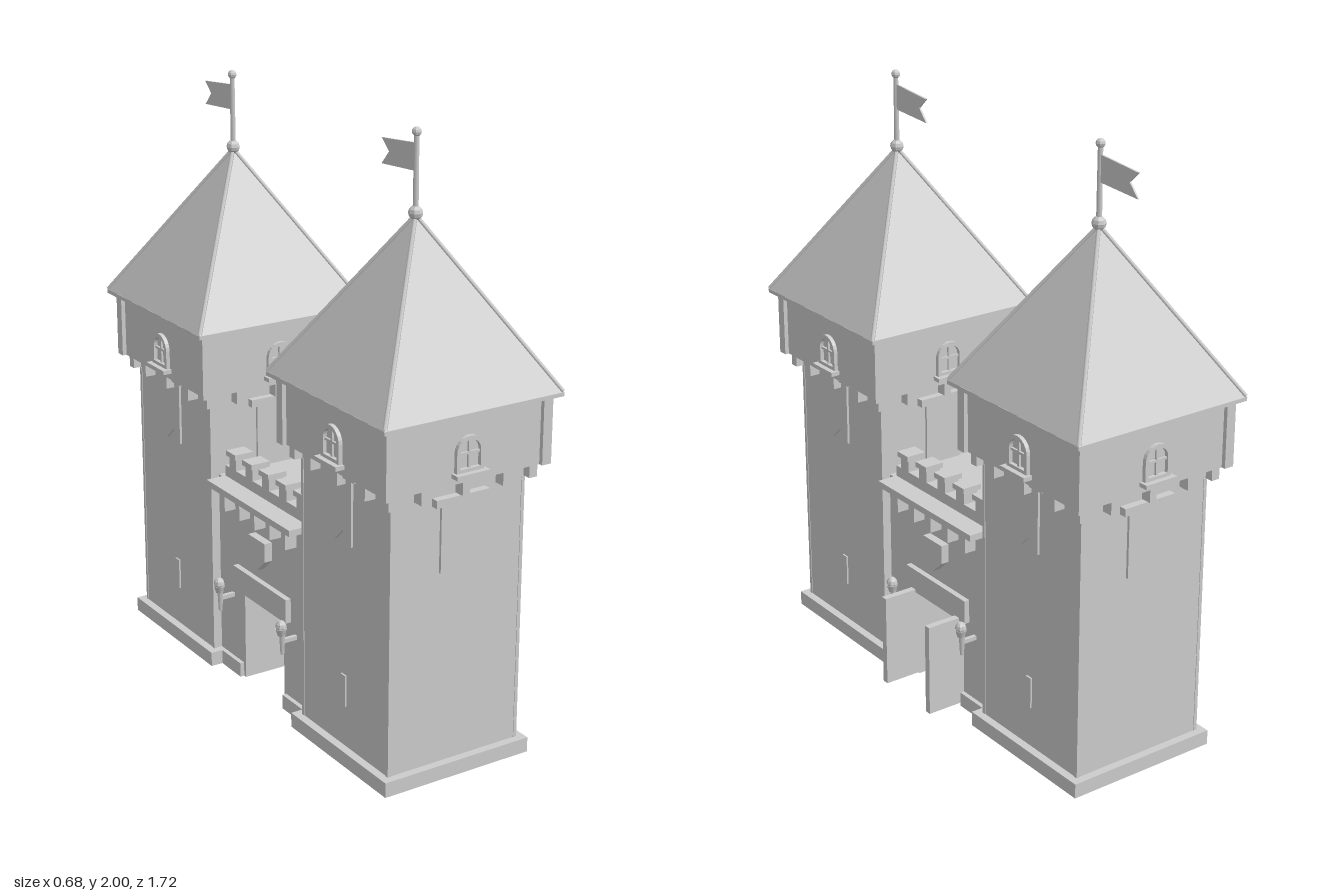
import * as THREE from 'three';

const stone = new THREE.MeshStandardMaterial({ color: 0xcccccc });
stone.name = 'grey stone';
const TOWER_Z = 0.533, CENTRE_X = -0.015;

// Faceted normals for low-poly parts
function facet(geometry) {
  const g = geometry.index ? geometry.toNonIndexed() : geometry;
  g.computeVertexNormals();
  return g;
}

function add(parent, name, geometry, x = 0, y = 0, z = 0) {
  const mesh = new THREE.Mesh(geometry, stone);
  mesh.name = name;
  mesh.position.set(x, y, z);
  parent.add(mesh);
  return mesh;
}

// Box standing on height y0
function box(parent, name, w, y0, y1, d, x = 0, z = 0) {
  return add(parent, name, new THREE.BoxGeometry(w, y1 - y0, d), x, (y0 + y1) / 2, z);
}

// Thin plate cut from an outline, growing towards +z
function plate(parent, name, points, depth, z) {
  const shape = new THREE.Shape(points.map(([x, y]) => new THREE.Vector2(x, y)));
  return add(parent, name, new THREE.ExtrudeGeometry(shape, { depth, bevelEnabled: false }), 0, 0, z);
}

function archShape(half, bottom, spring) {
  const s = new THREE.Shape();
  s.moveTo(-half, bottom);
  s.lineTo(half, bottom);
  s.lineTo(half, spring);
  s.absarc(0, spring, half, 0, Math.PI, false);
  s.lineTo(-half, bottom);
  return s;
}

// Arched window on a wall facing +z
function makeWindow(parent, z) {
  const frame = archShape(0.05, 1.02, 1.085);
  frame.holes.push(archShape(0.037, 1.033, 1.085));
  add(parent, 'windowFrame', new THREE.ExtrudeGeometry(frame, { depth: 0.016, bevelEnabled: false, curveSegments: 6 }), 0, 0, z);
  box(parent, 'windowMullion', 0.008, 1.03, 1.122, 0.01, 0, z + 0.005);
  box(parent, 'windowBar', 0.078, 1.075, 1.083, 0.01, 0, z + 0.005);
  box(parent, 'windowSill', 0.12, 1.008, 1.022, 0.04, 0, z + 0.014);
}

// One of the four tower sides, built facing +z
function makeTowerSide(gateSide) {
  const side = new THREE.Group();
  side.name = 'towerSide';
  makeWindow(side, 0.285);
  for (const x of [-0.15, 0, 0.15]) box(side, 'corbel', 0.026, 0.94, 0.99, 0.045, x, 0.26);
  if (gateSide) {
    box(side, 'bannerRod', 0.15, 0.962, 0.974, 0.02, 0, 0.253);
    plate(side, 'swallowtailBanner', [[-0.045, 0.965], [-0.045, 0.742], [0, 0.785], [0.045, 0.742], [0.045, 0.965]], 0.008, 0.245);
    box(side, 'arrowSlit', 0.026, 0.19, 0.297, 0.008, 0, 0.247);
  } else {
    box(side, 'bannerRail', 0.195, 0.912, 0.938, 0.028, 0, 0.256);
    box(side, 'banner', 0.138, 0.692, 0.92, 0.009, 0, 0.252);
  }
  return side;
}

function makeTower() {
  const tower = new THREE.Group();
  tower.name = 'tower';
  box(tower, 'towerBase', 0.545, 0, 0.05, 0.545);
  box(tower, 'towerShaft', 0.49, 0.05, 0.99, 0.49);
  box(tower, 'upperStorey', 0.575, 0.985, 1.21, 0.575);

  for (let i = 0; i < 4; i++) {
    const side = makeTowerSide(i % 2 === 1);
    side.rotation.y = i * Math.PI / 2;
    tower.add(side);
    const sx = i < 2 ? 1 : -1, sz = i % 2 ? 1 : -1;
    box(tower, 'cornerPost', 0.034, 0.985, 1.21, 0.034, sx * 0.285, sz * 0.285);
    box(tower, 'cornerCorbel', 0.03, 0.94, 0.99, 0.03, sx * 0.258, sz * 0.258);
    box(tower, 'cornerTrim', 0.012, 0.05, 0.94, 0.012, sx * 0.241, sz * 0.241);

    // Hip beam from roof corner to peak
    const low = new THREE.Vector3(sx * 0.322, 1.218, sz * 0.322);
    const top = new THREE.Vector3(0, 1.735, 0);
    const hip = new THREE.TubeGeometry(new THREE.LineCurve3(low, top), 1, 0.007, 6);
    add(tower, 'hipBeam', hip);
  }

  // Pyramid roof
  const roof = new THREE.ConeGeometry(0.325 * Math.SQRT2, 0.52, 4, 1);
  roof.rotateY(Math.PI / 4);
  add(tower, 'roof', facet(roof), 0, 1.475, 0);
  box(tower, 'eaves', 0.65, 1.203, 1.216, 0.65);

  // Pole and flag
  add(tower, 'roofBall', facet(new THREE.SphereGeometry(0.023, 8, 6)), 0, 1.742, 0);
  add(tower, 'flagPole', new THREE.CylinderGeometry(0.008, 0.009, 0.25, 8), 0, 1.86, 0);
  add(tower, 'poleBall', facet(new THREE.SphereGeometry(0.015, 8, 6)), 0, 1.985, 0);
  const flag = plate(tower, 'flag', [[0, 1.868], [0.177, 1.857], [0.138, 1.9], [0.177, 1.936], [0, 1.952]], 0.006, 0);
  flag.rotation.y = Math.PI / 2;
  flag.position.x = -0.003;
  return tower;
}

// Wall torch on a side facing +z
function makeTorch(parent, x) {
  add(parent, 'torchHandle', new THREE.CylinderGeometry(0.012, 0.007, 0.08, 6), x, 0.275, 0.268);
  add(parent, 'torchCup', new THREE.CylinderGeometry(0.02, 0.012, 0.025, 8), x, 0.315, 0.272);
  const flame = new THREE.SphereGeometry(0.019, 8, 6);
  flame.scale(1, 1.2, 1);
  add(parent, 'torchFlame', facet(flame), x, 0.333, 0.272);
  box(parent, 'torchBracket', 0.014, 0.275, 0.289, 0.06, x, 0.24);
}

// One long face of the gatehouse, built facing +z
function makeGateSide() {
  const side = new THREE.Group();
  side.name = 'gateSide';
  box(side, 'lintel', 0.336, 0.322, 0.405, 0.025, 0, 0.222);
  plate(side, 'shield', [[-0.052, 0.562], [-0.052, 0.497], [0, 0.45], [0.052, 0.497], [0.052, 0.562]], 0.03, 0.213);
  box(side, 'cornice', 0.524, 0.67, 0.692, 0.1, 0, 0.228);
  box(side, 'parapet', 0.524, 0.69, 0.73, 0.054, 0, 0.178);
  for (let i = -2; i <= 2; i++) {
    box(side, 'gateCorbel', 0.026, 0.6, 0.672, 0.045, i * 0.096, 0.235);
    const x = i * 0.106;
    box(side, 'merlon', 0.044, 0.73, 0.785, 0.054, x, 0.178);
    box(side, 'merlonCap', 0.06, 0.772, 0.79, 0.07, x, 0.178);
  }
  for (const s of [-1, 1]) makeTorch(side, s * 0.2);
  return side;
}

function makeGatehouse() {
  const gate = new THREE.Group();
  gate.name = 'gatehouse';
  box(gate, 'gateWall', 0.43, 0.33, 0.69, 0.59);
  for (const s of [-1, 1]) {
    box(gate, 'gatePier', 0.43, 0, 0.34, 0.17, 0, s * 0.21);
    box(gate, 'pierBase', 0.46, 0, 0.05, 0.125, 0, s * 0.2);
    // Open door leaf
    box(gate, 'door', 0.14, 0.012, 0.332, 0.023, 0.285, s * 0.126);
    const side = makeGateSide();
    side.rotation.y = s * Math.PI / 2;
    gate.add(side);
  }
  // Raised portcullis
  for (let i = 0; i < 6; i++) box(gate, 'portcullisBar', 0.018, 0.262, 0.34, 0.019, 0, (i - 2.5) * 0.047);
  box(gate, 'portcullisRail', 0.018, 0.26, 0.272, 0.25);
  return gate;
}

export function createModel() {
  const model = new THREE.Group();
  model.name = 'castleGate';
  for (const s of [-1, 1]) {
    const tower = makeTower();
    tower.position.set(CENTRE_X, 0, s * TOWER_Z);
    model.add(tower);
  }
  const gate = makeGatehouse();
  gate.position.x = CENTRE_X;
  model.add(gate);
  return model;
}
